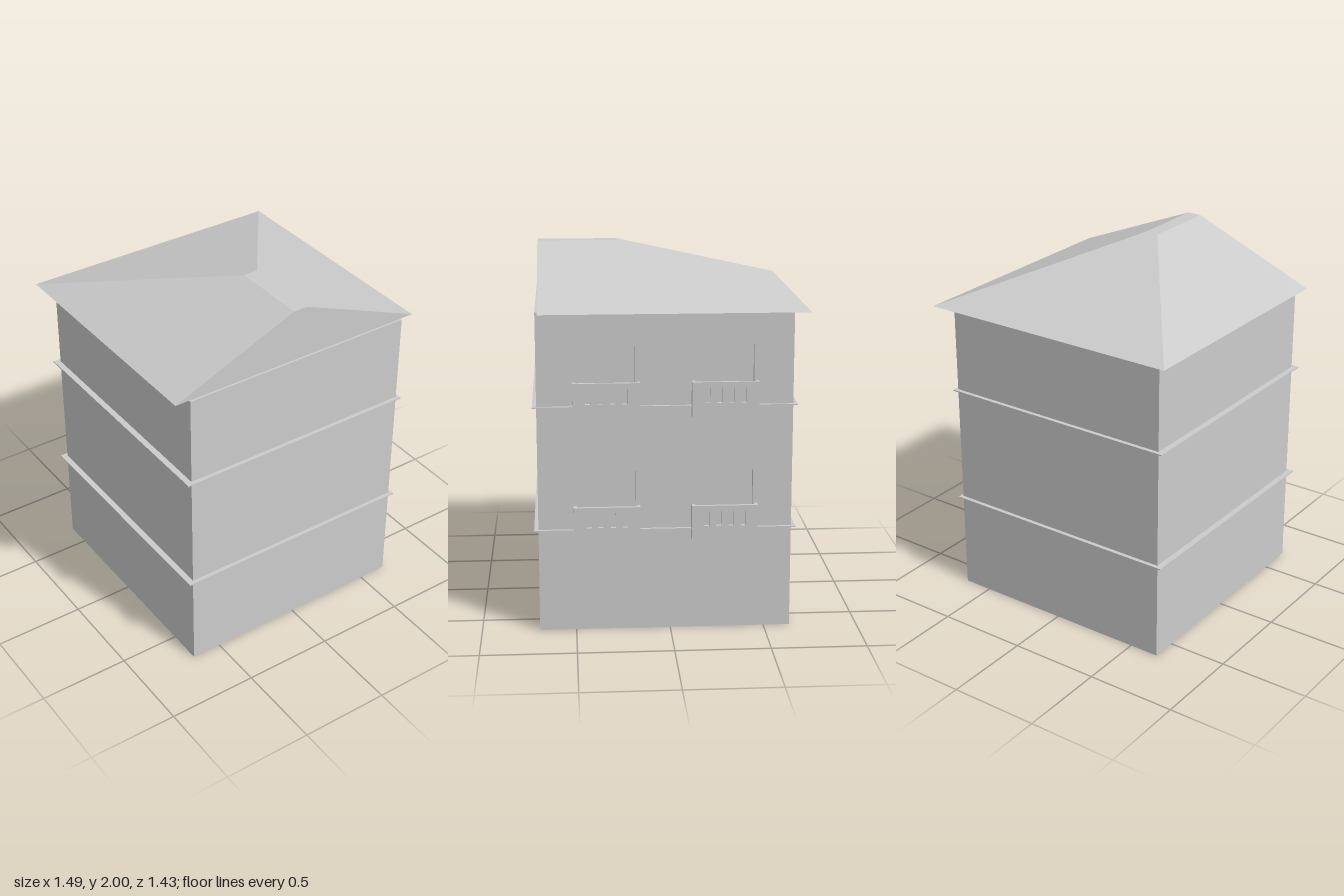
import * as THREE from 'three';
import { ConvexGeometry } from 'three/addons/geometries/ConvexGeometry.js';

const material = new THREE.MeshStandardMaterial({ color: 0xcccccc, flatShading: true });

function add(parent, name, geometry) {
  const mesh = new THREE.Mesh(geometry, material);
  mesh.name = name;
  parent.add(mesh);
  return mesh;
}

// Box given by its minimum and maximum corners
function addBox(parent, name, [x0, y0, z0], [x1, y1, z1]) {
  const mesh = add(parent, name, new THREE.BoxGeometry(x1 - x0, y1 - y0, z1 - z0));
  mesh.position.set((x0 + x1) / 2, (y0 + y1) / 2, (z0 + z1) / 2);
  return mesh;
}

function rectangle(Type, z0, z1, y0, y1) {
  return new Type([[-z1, y0], [-z0, y0], [-z0, y1], [-z1, y1]].map(p => new THREE.Vector2(...p)));
}

// Upright panel facing +x, with rectangular openings
function addPanel(parent, name, x, depth, shape, holes) {
  shape.holes = holes;
  const geometry = new THREE.ExtrudeGeometry(shape, { depth, bevelEnabled: false });
  geometry.rotateY(Math.PI / 2);
  geometry.translate(x, 0, 0);
  return add(parent, name, geometry);
}

// Shallow balcony: slotted front, two cheeks and a floor
function createBalcony(z, y) {
  const balcony = new THREE.Group();
  balcony.name = 'balcony';
  const half = 0.174, height = 0.183, wall = 0.018;
  const slots = [-0.095, -0.032, 0.032, 0.095].map(c =>
    rectangle(THREE.Path, c - 0.013, c + 0.013, 0.073, 0.153));
  addPanel(balcony, 'balconyFront', 0.687, wall, rectangle(THREE.Shape, -half, half, 0, height), slots);
  for (const side of [-1, 1]) {
    const inner = side * (half - wall), outer = side * half;
    addBox(balcony, 'balconySide',
      [0.66, 0, Math.min(inner, outer)], [0.687, height, Math.max(inner, outer)]);
  }
  addBox(balcony, 'balconyFloor', [0.66, 0, -half + wall], [0.687, 0.05, half - wall]);
  balcony.position.set(0, y, z);
  return balcony;
}

export function createModel() {
  const house = new THREE.Group();
  house.name = 'house';
  const wallTop = 1.71, floors = [0.555, 1.217], bays = [0.333, -0.284];

  // Main block, with the balcony wall as a separate skin so its openings are recessed
  addBox(house, 'body', [-0.667, 0, -0.64], [0.633, wallTop, 0.693]);
  const openings = [];
  for (const y of floors) {
    for (const z of bays) {
      openings.push(rectangle(THREE.Path, z - 0.15, z + 0.15, y, y + 0.314));
      house.add(createBalcony(z, y - 0.054));
    }
    // Thin ledge around each floor
    addBox(house, 'floorLedge', [-0.7, y - 0.004, -0.662], [0.68, y + 0.002, 0.715]);
  }
  addPanel(house, 'balconyWall', 0.633, 0.03,
    rectangle(THREE.Shape, -0.64, 0.693, 0, wallTop), openings);

  // Roof: gable at the front, hip at the back, narrow flat ridge
  const corners = [];
  for (const s of [-1, 1]) {
    corners.push(
      new THREE.Vector3(s * 0.745, wallTop, 0.68),
      new THREE.Vector3(s * 0.745, wallTop, -0.715),
      new THREE.Vector3(s * 0.04, 2, 0.68),
      new THREE.Vector3(s * 0.04, 2, 0.25));
  }
  add(house, 'roof', new ConvexGeometry(corners));
  return house;
}
